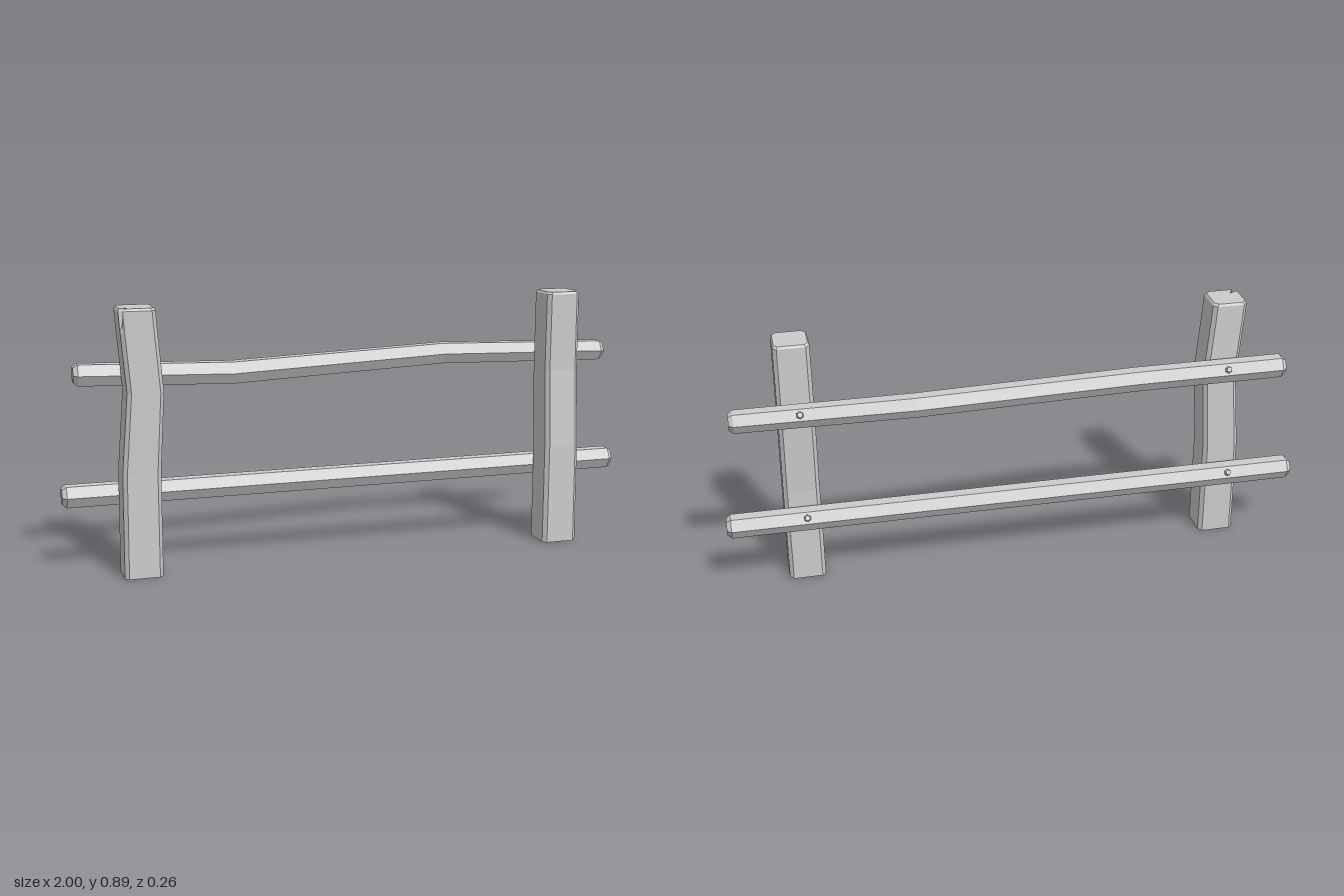
import * as THREE from 'three';

const material = new THREE.MeshStandardMaterial({ color: 0xcccccc, flatShading: true, side: THREE.DoubleSide });

// Flat-shaded skin over a row of rings, each counter-clockwise seen from the far end, with closed ends
function loft(rings, name) {
  const pos = [];
  const tri = (...pts) => pts.forEach((p) => pos.push(p.x, p.y, p.z));
  const n = rings[0].length;
  for (let r = 0; r < rings.length - 1; r++) {
    const a = rings[r], b = rings[r + 1];
    for (let i = 0; i < n; i++) {
      const j = (i + 1) % n;
      tri(a[i], a[j], b[j]);
      tri(a[i], b[j], b[i]);
    }
  }
  const cap = (ring, flip) => {
    const mid = ring.reduce((s, p) => s.add(p), new THREE.Vector3()).divideScalar(n);
    ring.forEach((p, i) => {
      const q = ring[(i + 1) % n];
      if (flip) tri(mid, q, p);
      else tri(mid, p, q);
    });
  };
  cap(rings[0], true);
  cap(rings[rings.length - 1], false);
  const geometry = new THREE.BufferGeometry();
  geometry.setAttribute('position', new THREE.Float32BufferAttribute(pos, 3));
  geometry.computeVertexNormals();
  const mesh = new THREE.Mesh(geometry, material);
  mesh.name = name;
  return mesh;
}

// Square post section with chamfered corners; "split" cuts a wedge into the front outer corner
function postRing([x, y, z, hx, hz, split = 0]) {
  const c = 0.013;
  const m = c / 2 + split * 0.7;
  return [
    [hx - c, hz], [hx, hz - c],
    [hx, c - hz], [hx - c, -hz],
    [c - hx, -hz], [-hx, c - hz],
    [-hx, hz - c], [m - hx, hz - m], [c - hx, hz],
  ].map(([px, pz]) => new THREE.Vector3(x + px, y, z + pz));
}

// Hexagonal rail section
function railRing([x, y, z, r]) {
  return Array.from({ length: 6 }, (_, i) => {
    const a = (i * Math.PI) / 3;
    return new THREE.Vector3(x, y + r * Math.sin(a), z - r * Math.cos(a));
  });
}

// Rail along a path of [x, y, z, radius] with bevelled ends
function rail(path, name) {
  const first = path[0], last = path[path.length - 1];
  const end = (p, dx) => [p[0] + dx, p[1], p[2], p[3] * 0.7];
  return loft([end(first, -0.015), ...path, end(last, 0.015)].map(railRing), name);
}

export function createModel() {
  const group = new THREE.Group();

  // Posts: [x, y, z, half width, half depth, split depth]
  group.add(loft([
    [-0.755, 0, 0.053, 0.064, 0.062],
    [-0.753, 0.35, 0.053, 0.063, 0.062],
    [-0.735, 0.62, 0.06, 0.06, 0.062],
    [-0.752, 0.82, 0.064, 0.06, 0.062],
    [-0.757, 0.887, 0.066, 0.06, 0.062, 0.035],
    [-0.758, 0.895, 0.066, 0.055, 0.057, 0.035],
  ].map(postRing), 'rightPost'));
  group.add(loft([
    [0.739, 0, 0.051, 0.063, 0.062],
    [0.739, 0.35, 0.051, 0.062, 0.062],
    [0.738, 0.62, 0.036, 0.061, 0.061],
    [0.738, 0.887, 0.038, 0.06, 0.061],
    [0.738, 0.895, 0.038, 0.055, 0.056],
  ].map(postRing), 'leftPost'));

  // Rails
  group.add(rail([
    [-0.985, 0.258, -0.042, 0.041],
    [0.985, 0.262, -0.046, 0.041],
  ], 'lowerRail'));
  group.add(rail([
    [-0.935, 0.665, -0.038, 0.041],
    [-0.42, 0.653, -0.016, 0.042],
    [0.35, 0.673, -0.087, 0.041],
    [0.945, 0.662, -0.058, 0.039],
  ], 'upperRail'));

  // Nail heads on the upper back face of each rail: rail centre at each post
  const normal = new THREE.Vector3(0, 0.5, -Math.sqrt(0.75));
  const headGeometry = new THREE.CylinderGeometry(0.009, 0.014, 0.016, 6);
  [
    [-0.76, 0.258, -0.043], [0.73, 0.262, -0.046],
    [-0.74, 0.66, -0.03], [0.73, 0.666, -0.068],
  ].forEach((centre) => {
    const nail = new THREE.Mesh(headGeometry, material);
    nail.name = 'nailHead';
    nail.position.set(...centre).addScaledVector(normal, 0.039);
    nail.quaternion.setFromUnitVectors(new THREE.Vector3(0, 1, 0), normal);
    group.add(nail);
  });

  return group;
}
